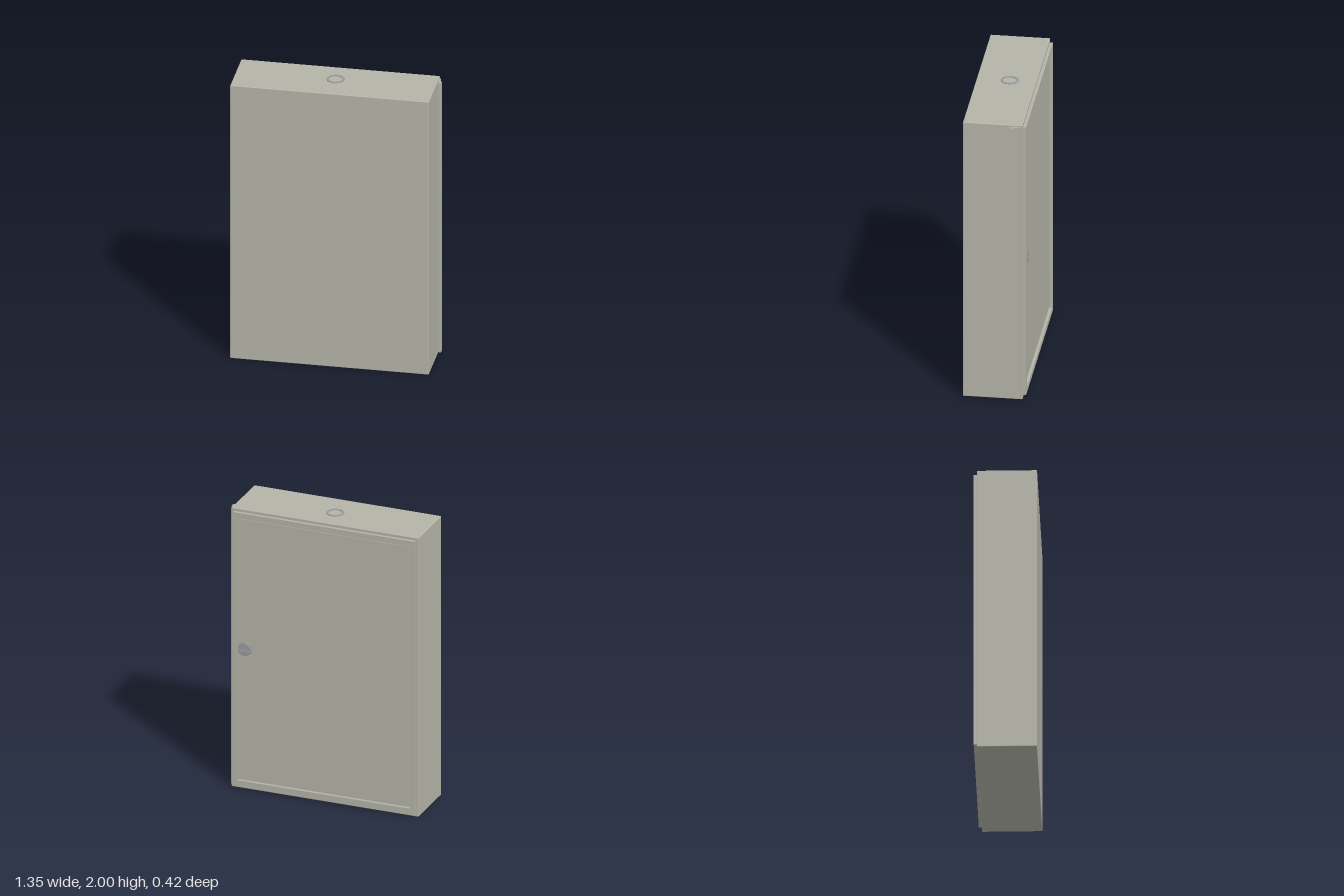
import * as THREE from 'three';
import { RoundedBoxGeometry } from 'three/addons/geometries/RoundedBoxGeometry.js';

const paint = new THREE.MeshStandardMaterial({ color: 0xb4b4a8 });
const metal = new THREE.MeshStandardMaterial({ color: 0x999c9f });

function add(parent, name, geometry, material, x = 0, y = 0, z = 0) {
  const mesh = new THREE.Mesh(geometry, material);
  mesh.name = name;
  mesh.position.set(x, y, z);
  parent.add(mesh);
  return mesh;
}

function rectangle(Kind, x0, y0, x1, y1) {
  const r = new Kind();
  r.moveTo(x0, y0).lineTo(x1, y0).lineTo(x1, y1).lineTo(x0, y1).closePath();
  return r;
}

const extrude = (shape, depth) =>
  new THREE.ExtrudeGeometry(shape, { depth, bevelEnabled: false, curveSegments: 32 });

export function createModel() {
  const model = new THREE.Group();
  const cx = -0.0125;

  // Cabinet body
  add(model, 'cabinetBody', new RoundedBoxGeometry(1.325, 1.996, 0.395, 2, 0.005), paint, cx, 0.998, 0.0085);

  // Raised rim around the door on the back
  const rim = rectangle(THREE.Shape, -0.655, 0.025, 0.63, 1.975);
  rim.holes.push(rectangle(THREE.Path, -0.62, 0.06, 0.6, 1.935));
  add(model, 'doorRim', extrude(rim, 0.022), paint, 0, 0, -0.21);

  // Door panel set inside the rim, with a narrow groove around it
  add(model, 'doorPanel', new THREE.BoxGeometry(1.2, 1.855, 0.006), paint, -0.01, 0.9975, -0.19);

  // Stepped strip along the left side: thin flange, then a raised lip
  const profile = new THREE.Shape([
    [0.648, 0.175], [0.66, 0.175], [0.66, 0.135], [0.672, 0.135],
    [0.672, 0.106], [0.656, 0.106], [0.656, 0.13], [0.648, 0.13],
  ].map(([x, y]) => new THREE.Vector2(x, y)));
  const strip = add(model, 'sideStrip', extrude(profile, 1.97), paint, 0, 0.013, 0);
  strip.rotation.x = -Math.PI / 2;

  // Flat ring on the roof
  const ring = new THREE.Shape().absarc(0, 0, 0.06, 0, Math.PI * 2);
  ring.holes.push(new THREE.Path().absarc(0, 0, 0.044, 0, Math.PI * 2, true));
  add(model, 'cableRing', extrude(ring, 0.006), metal, cx, 1.994, -0.0125).rotation.x = -Math.PI / 2;

  // Round lock: a base disc with two raised halves leaving a slot
  const lock = new THREE.Group();
  lock.name = 'lock';
  lock.position.set(0.553, 1, -0.192);
  add(lock, 'lockBase', new THREE.CylinderGeometry(0.048, 0.048, 0.012, 32), metal, 0, 0, -0.004).rotation.x = Math.PI / 2;
  const half = new THREE.Shape().absarc(0, 0, 0.044, 0.14, Math.PI - 0.14);
  half.closePath();
  for (const turn of [0, Math.PI]) {
    add(lock, 'lockHalf', extrude(half, 0.012), metal, 0, 0, -0.019).rotation.z = turn;
  }
  model.add(lock);

  return model;
}
